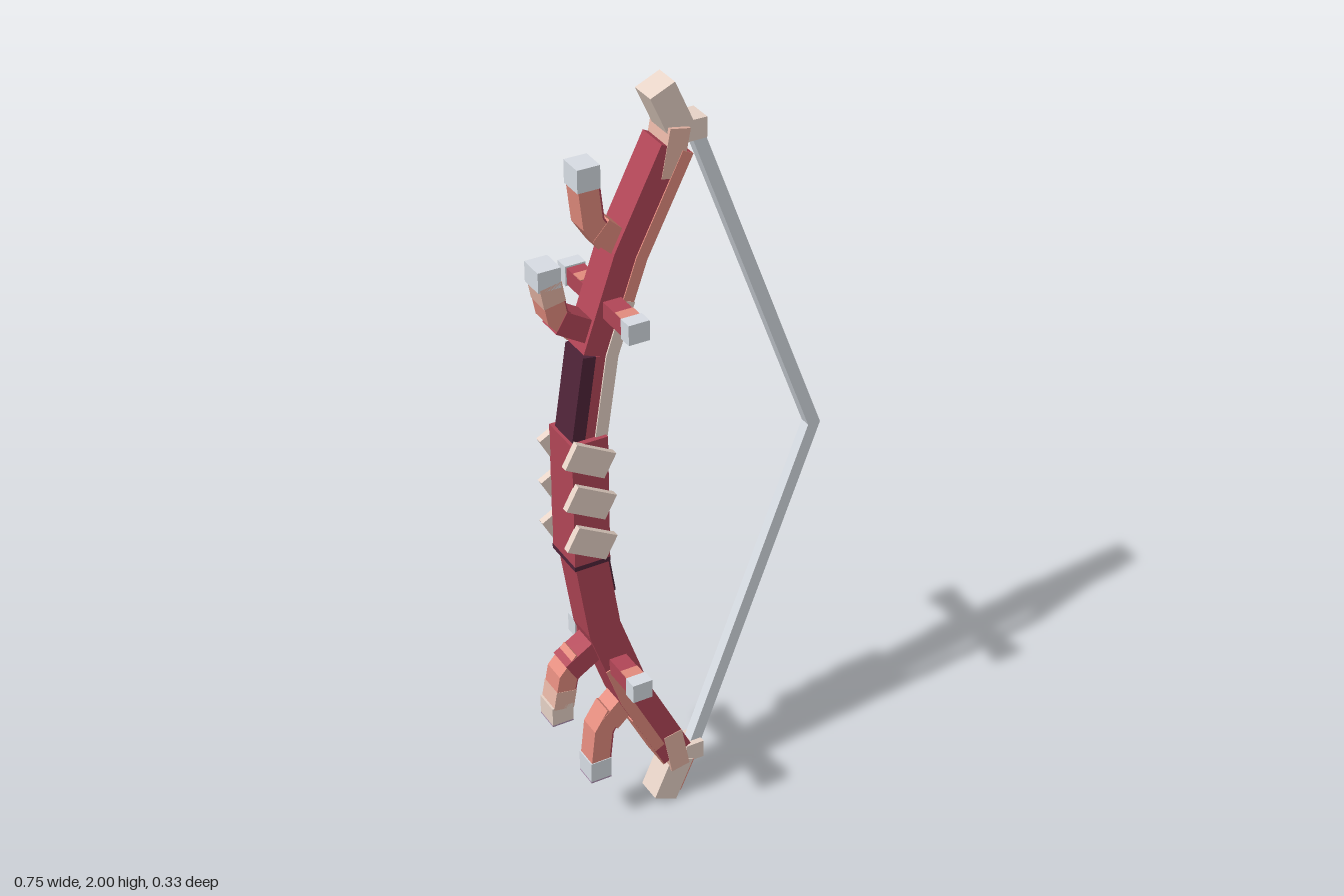
import * as THREE from 'three';

const mat = (name, color) => {
  const m = new THREE.MeshStandardMaterial({ color });
  m.name = name;
  return m;
};

// Mitred outline of a path, between two sideways offsets (positive = right of travel)
function outline(pts, o0, o1) {
  const v = pts.map(p => new THREE.Vector2(...p));
  const side = (a, b) => {
    const d = b.clone().sub(a).normalize();
    return new THREE.Vector2(d.y, -d.x);
  };
  const edge = o => v.map((p, i) => {
    const n0 = side(v[Math.max(i - 1, 0)], v[Math.max(i, 1)]);
    const last = v.length - 1;
    const n1 = side(v[Math.min(i, last - 1)], v[Math.min(i + 1, last)]);
    const n = n0.clone().add(n1).normalize();
    return p.clone().addScaledVector(n, o / n.dot(n0));
  });
  return [...edge(o0), ...edge(o1).reverse()];
}

export function createModel() {
  const red = mat('red wood', 0xb24657);
  const pink = mat('coral', 0xe38c7e);
  const pale = mat('pale coral', 0xe6b5a5);
  const cream = mat('bone', 0xe8d4c8);
  const gray = mat('silver', 0xd8dde4);
  const dark = mat('dark plum', 0x502439);
  const mauve = mat('mauve', 0xb094b4);

  const model = new THREE.Group();
  const add = (parent, name, geo, material, x = 0, y = 0, z = 0) => {
    const mesh = new THREE.Mesh(geo, material);
    mesh.name = name;
    mesh.position.set(x, y, z);
    parent.add(mesh);
    return mesh;
  };
  const box = (parent, name, w, h, d, material, x, y, z) =>
    add(parent, name, new THREE.BoxGeometry(w, h, d), material, x, y, z);

  // Flat bar following a path, extruded from z0 to z1; flip mirrors it about y = 1
  const bar = (parent, name, pts, o0, o1, z0, z1, material, flip) => {
    const poly = outline(pts, o0, o1);
    if (flip) poly.forEach(p => { p.y = 2 - p.y; });
    const geo = new THREE.ExtrudeGeometry(new THREE.Shape(poly), { depth: z1 - z0, bevelEnabled: false });
    return add(parent, name, geo, material, 0, 0, z0);
  };

  const path = [[-0.265, 1.15], [-0.23, 1.38], [-0.15, 1.61], [-0.033, 1.843]];
  const mid = path.slice(1);

  for (const flip of [false, true]) {
    const limb = new THREE.Group();
    limb.name = flip ? 'lowerLimb' : 'upperLimb';
    model.add(limb);
    const b = (name, pts, o0, o1, z0, z1, m) => bar(limb, name, pts, o0, o1, z0, z1, m, flip);
    const Y = y => (flip ? 2 - y : y);

    // Limb body and its painted strips
    if (flip) {
      b('limbBody', path, -0.043, 0.041, -0.042, 0.042, red);
      b('darkPatch', [[-0.265, 1.15], [-0.245, 1.28]], 0.041, 0.045, -0.042, 0.042, dark);
      const outer = [[-0.19, 1.495], path[2], [-0.06, 1.789]];
      for (const z of [-0.045, 0.042])
        b('coralEdge', outer, -0.043, -0.014, z, z + 0.003, pink);
      b('coralOuterFace', [[-0.12, 1.67], path[3]], -0.046, -0.043, -0.042, 0.042, pink);
    } else {
      b('darkOuterHalf', path.slice(0, 2), -0.043, -0.01, -0.042, 0.042, dark);
      b('innerHalf', path.slice(0, 2), -0.01, 0.041, -0.042, 0.042, red);
      b('limbBody', mid, -0.043, 0.041, -0.042, 0.042, red);
      const seam = [...path.slice(0, 2), [-0.185, 1.51]];
      for (const z of [-0.046, 0.042])
        b('boneStrip', seam, 0.014, 0.045, z, z + 0.004, cream);
      b('coralEdge', [[-0.185, 1.51], path[2], path[3]], 0.014, 0.043, 0.042, 0.045, pink);
      b('coralInnerFace', [[-0.245, 1.28], path[1], path[2], path[3]], 0.041, 0.044, 0, 0.042, pink);
    }

    // Curved-back tip and string nock
    b('tipCollar', [[-0.048, 1.775], [-0.026, 1.89]], -0.025, 0.026, -0.0435, 0.0435, pale);
    b('tip', [[-0.015, 1.875], [-0.064, 1.985]], -0.033, 0.033, -0.034, 0.034, cream);
    if (flip) b('tipUnderside', [[-0.015, 1.875], [-0.053, 1.96]], 0.033, 0.036, -0.034, 0.034, pink);
    box(limb, 'nock', 0.048, 0.05, 0.06, cream, 0.024, Y(1.87), 0);

    // Outer forked branch, red on its inner face
    b('branchRoot', [[-0.15, 1.625], [-0.215, 1.685]], -0.03, 0.03, -0.03, 0.03, pink);
    const arm = [[-0.2, 1.655], [-0.232, 1.705], [-0.242, 1.795]];
    b('branchArm', arm, -0.026, 0.023, -0.029, 0.029, pink);
    b('branchInnerFace', arm, 0.023, 0.027, -0.029, 0.029, red);
    box(limb, 'branchCap', 0.056, 0.056, 0.062, gray, -0.243, Y(1.818), 0);

    // Inner forked branch with a red elbow
    b('branchRoot', [[-0.22, 1.425], [-0.318, 1.485]], -0.028, 0.028, -0.0325, 0.0325, red);
    const fork = [[-0.285, 1.455], [-0.325, 1.5], [-0.34, 1.58]];
    b('branchArm', fork, -0.026, 0.023, -0.031, 0.031, pink);
    b('branchInnerFace', fork, 0.023, 0.026, -0.031, 0.031, red);
    b('branchBand', [[-0.332, 1.535], [-0.341, 1.585]], -0.027, 0.027, -0.032, 0.032, pale);
    box(limb, 'branchCap', 0.056, 0.05, 0.064, flip ? cream : gray, -0.344, Y(1.6), 0);

    // Shaded ends under the lower branches
    if (flip) {
      box(limb, 'branchEnd', 0.056, 0.004, 0.062, mauve, -0.243, Y(1.848), 0);
      box(limb, 'branchEnd', 0.056, 0.004, 0.064, mauve, -0.344, Y(1.627), 0);
    }

    // Side pegs with a coral patch on top
    for (const s of [-1, 1]) {
      box(limb, 'peg', 0.045, 0.042, 0.135, red, -0.198, Y(1.495), s * 0.0675);
      box(limb, 'pegPatch', 0.045, 0.003, 0.035, pink, -0.198, Y(1.495) + 0.022, s > 0 ? 0.115 : -0.08);
      box(limb, 'pegCap', 0.052, 0.05, 0.036, gray, -0.198, Y(1.495), s * 0.148);
    }
  }

  // Grip with slanted wraps on both faces
  const grip = new THREE.Group();
  grip.name = 'grip';
  model.add(grip);
  box(grip, 'gripCore', 0.092, 0.345, 0.112, red, -0.267, 1.0, 0);
  box(grip, 'gripShade', 0.004, 0.19, 0.055, dark, -0.22, 0.925, -0.028);
  box(grip, 'gripBase', 0.093, 0.012, 0.113, dark, -0.267, 0.833, 0);
  for (const s of [-1, 1])
    for (const y of [0.903, 1.016, 1.13]) {
      const wrap = box(grip, 'wrap', 0.112, 0.066, 0.018, cream, -0.274, y, s * 0.063);
      wrap.rotation.z = -s * 0.5;
    }

  // Drawn string
  bar(model, 'string', [[0.03, 1.86], [0.357, 1], [0.03, 0.14]], -0.0155, 0.0155, -0.0145, 0.0145, gray, false);

  return model;
}
